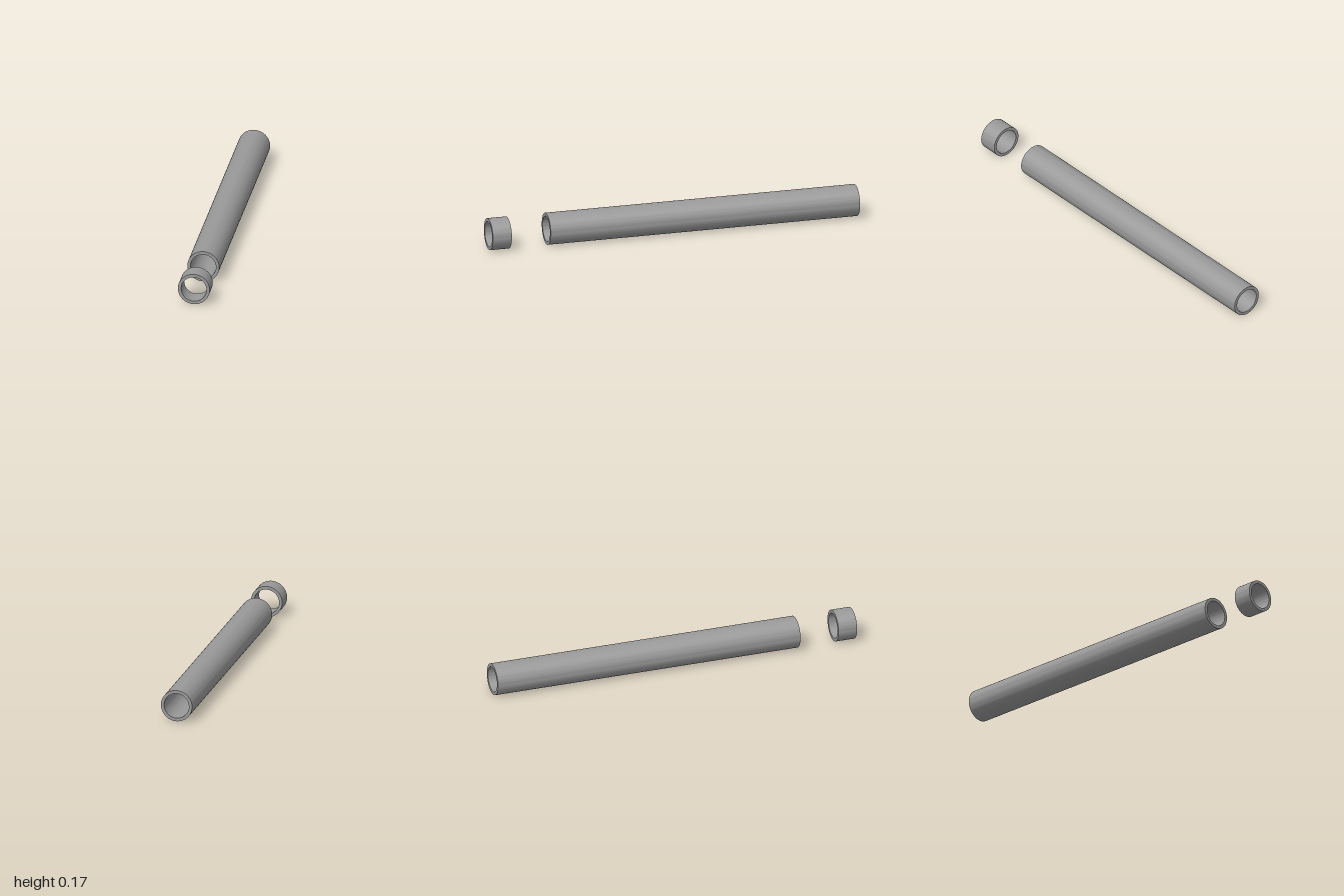
import * as THREE from 'three';
import { toCreasedNormals } from 'three/addons/utils/BufferGeometryUtils.js';

const OUTER = 0.084;
const INNER = 0.067;
const SEGMENTS = 64;

// Hollow pipe along z with flat annular ends
function pipe(name, zBack, zFront, material) {
  const profile = [
    [OUTER, zBack], [OUTER, zFront], [INNER, zFront], [INNER, zBack], [OUTER, zBack],
  ].map(([r, z]) => new THREE.Vector2(r, z));
  const lathe = new THREE.LatheGeometry(profile, SEGMENTS).rotateX(Math.PI / 2);
  const mesh = new THREE.Mesh(toCreasedNormals(lathe, 0.6), material);
  mesh.name = name;
  mesh.position.y = OUTER;
  return mesh;
}

export function createModel() {
  const group = new THREE.Group();
  group.name = 'pipeAndCollar';
  const material = new THREE.MeshStandardMaterial({ color: 0x999999 });
  group.add(
    pipe('longTube', -1, 0.685, material),
    pipe('endCollar', 0.897, 1, material),
  );
  return group;
}
